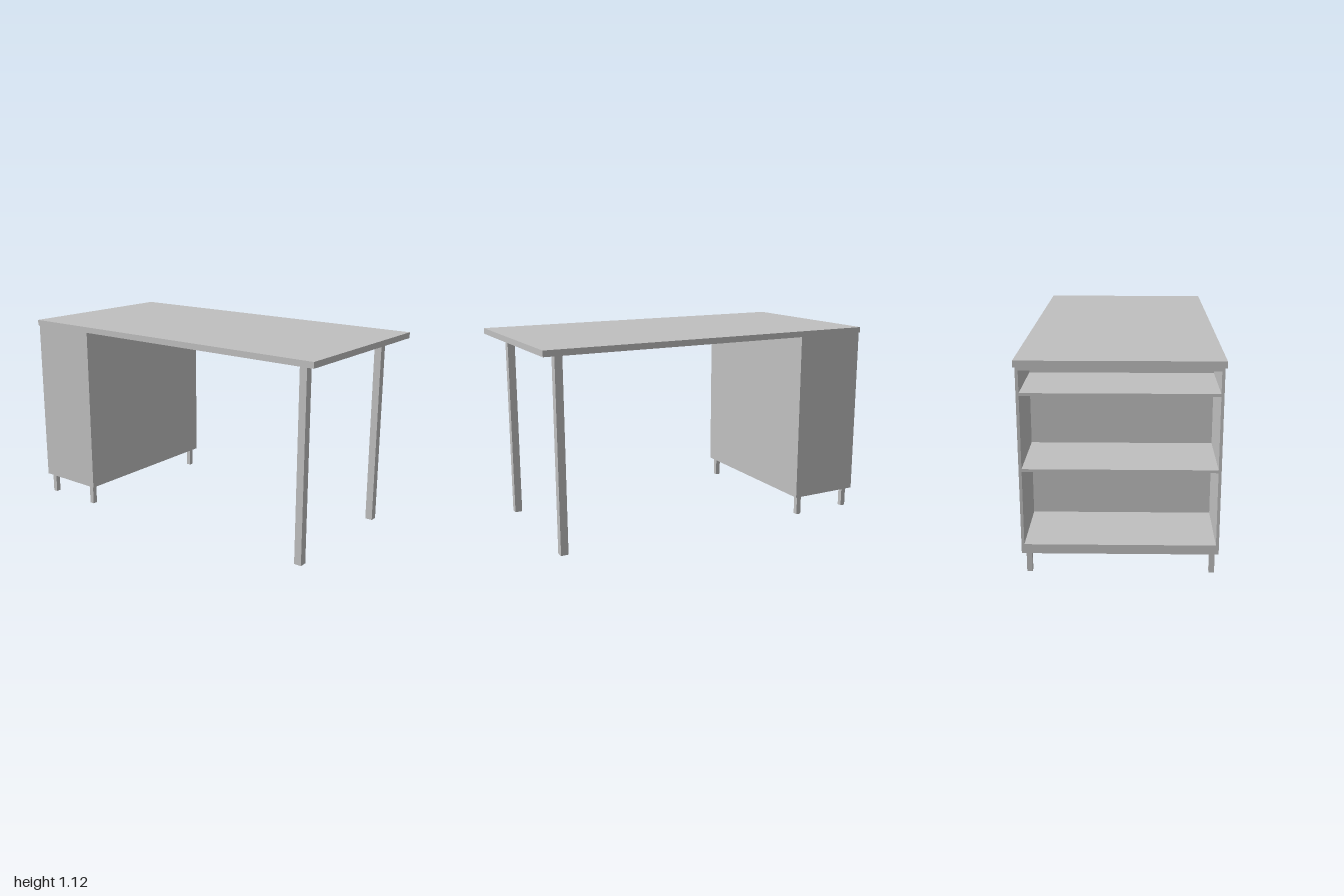
import * as THREE from 'three';

export function createModel() {
  const model = new THREE.Group();
  model.name = 'desk';
  const grey = new THREE.MeshStandardMaterial({ color: 0xc0c0c0 });
  grey.name = 'plain grey';

  // Box given by its lower and upper limits on each axis
  const box = (name, [x0, x1], [y0, y1], [z0, z1], parent) => {
    const mesh = new THREE.Mesh(new THREE.BoxGeometry(x1 - x0, y1 - y0, z1 - z0), grey);
    mesh.position.set((x0 + x1) / 2, (y0 + y1) / 2, (z0 + z1) / 2);
    mesh.name = name;
    parent.add(mesh);
  };
  const around = (c, size) => [c - size / 2, c + size / 2];

  // The whole desk stands at a very slight angle
  const desk = new THREE.Group();
  desk.name = 'turnedDesk';
  desk.rotation.y = 0.0135;
  model.add(desk);

  const under = 1.087;
  box('tabletop', [-0.51, 0.51], [under, 1.12], [-0.993, 0.993], desk);

  // Two tall legs at the front
  for (const x of [-0.392, 0.385]) {
    box('frontLeg', around(x, 0.0425), [0, under], around(0.875, 0.0425), desk);
  }

  // Shelf cabinet, open towards the back
  const cabinet = new THREE.Group();
  cabinet.name = 'cabinet';
  desk.add(cabinet);
  const t = 0.015, base = 0.115, floor = 0.165;
  const back = -0.993, front = -0.572;
  const inner = [-0.5 + t, 0.5 - t];
  const depth = [back, front - t];
  box('cabinetBase', [-0.5, 0.5], [base, floor], [back, front], cabinet);
  box('cabinetTop', inner, [under - t, under], depth, cabinet);
  box('cabinetFrontPanel', [-0.5, 0.5], [floor, under], [front - t, front], cabinet);
  box('cabinetRightSide', [-0.5, -0.5 + t], [floor, under], depth, cabinet);
  box('cabinetLeftSide', [0.5 - t, 0.5], [floor, under], depth, cabinet);
  for (const y of [0.564, 0.953]) box('shelf', inner, around(y, t), depth, cabinet);

  // Short cabinet feet
  for (const x of [-0.469, 0.4655]) {
    for (const z of [-0.6085, -0.9515]) {
      box('cabinetFoot', around(x, 0.028), [0, base], around(z, 0.029), cabinet);
    }
  }
  return model;
}
